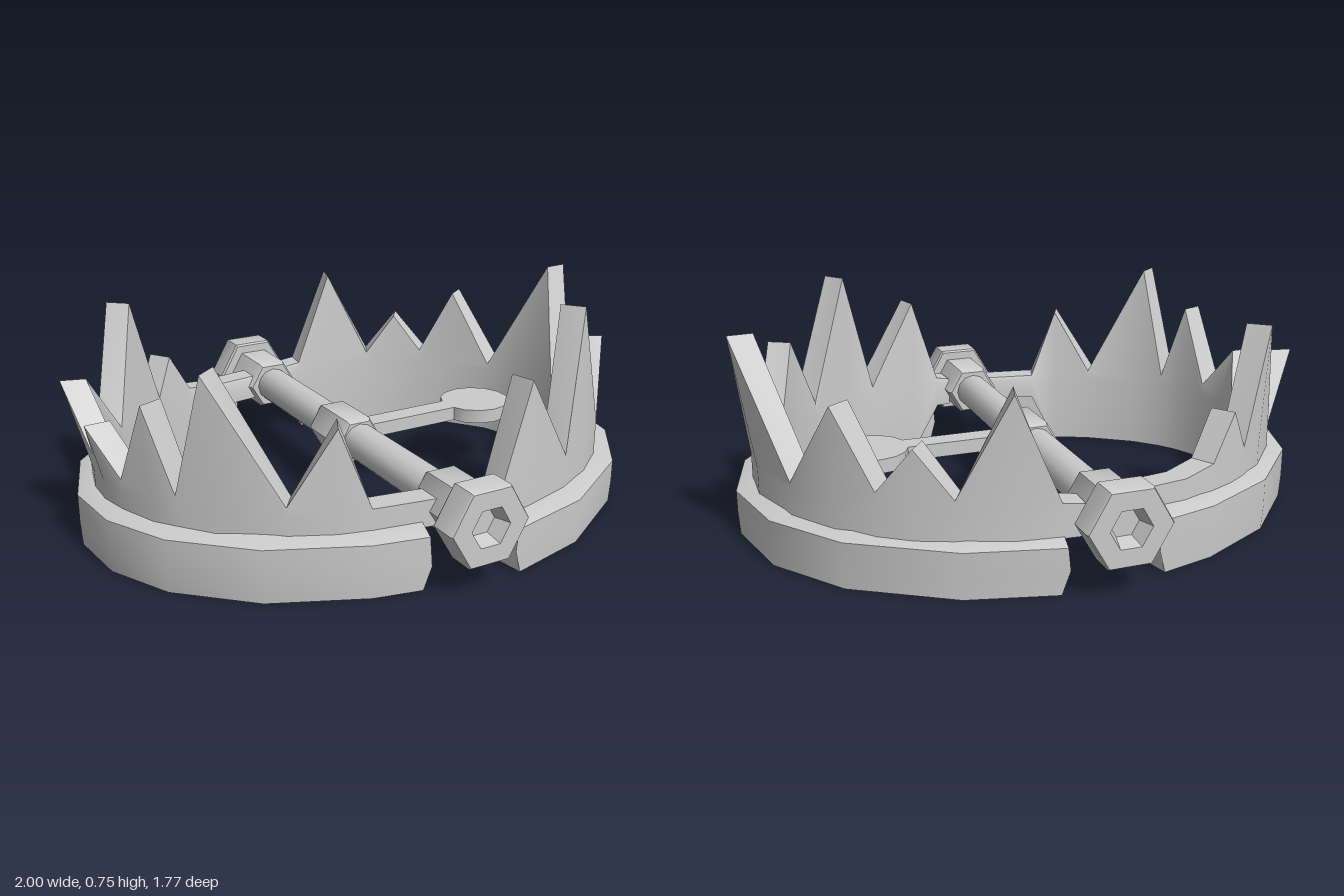
import * as THREE from 'three';
import { toCreasedNormals } from 'three/addons/utils/BufferGeometryUtils.js';

const material = new THREE.MeshStandardMaterial({ color: 0xcccccc, side: THREE.DoubleSide });
const AXIS_X = -0.03, AXIS_Y = 0.23;

function part(name, geometry) {
  const mesh = new THREE.Mesh(toCreasedNormals(geometry, 0.6), material);
  mesh.name = name;
  return mesh;
}

// Skin a row of cross-sections and cap both ends. The last side of a section
// is its underside, left open where openBelow(i) says so.
function loft(sections, flip, openBelow) {
  const out = [];
  const tri = (a, b, c) => out.push(...a, ...(flip ? c : b), ...(flip ? b : c));
  const n = sections[0].length;
  for (let i = 0; i + 1 < sections.length; i++) {
    for (let j = 0; j < (openBelow(i) ? n - 1 : n); j++) {
      const k = (j + 1) % n;
      const a = sections[i][j], b = sections[i][k], c = sections[i + 1][k], d = sections[i + 1][j];
      tri(a, d, c);
      tri(a, c, b);
    }
  }
  const first = sections[0], last = sections[sections.length - 1];
  for (let j = 1; j + 1 < n; j++) {
    tri(first[0], first[j], first[j + 1]);
    tri(last[0], last[j + 1], last[j]);
  }
  const g = new THREE.BufferGeometry();
  g.setAttribute('position', new THREE.Float32BufferAttribute(out, 3));
  return g;
}

// side: +1 or -1; a, b: half axes of the outer ellipse; angles run from +z to -z.
function makeJaw(name, { side, a, b, bandZ, bandTop, bandAngles, armBottom, teeth }) {
  const jaw = new THREE.Group();
  jaw.name = name;
  const at = (deg, offset, y) => {
    const t = THREE.MathUtils.degToRad(deg);
    return [side * (a + offset) * Math.sin(t), y, (b + offset) * Math.cos(t)];
  };

  // Toothed wall: [angle, top height, outward lean of the top]
  const isArm = (i) => i < 2 || i > teeth.length - 3;
  const wall = teeth.map(([deg, y, lean = 0], i) => [
    at(deg, -0.06, isArm(i) ? armBottom : bandTop), at(deg, -0.06, 0.26), at(deg, -0.06 + lean, y),
    at(deg, -0.145 + lean, y), at(deg, -0.15, 0.26), at(deg, -0.15, isArm(i) ? armBottom : 0)]);
  jaw.add(part('toothedWall', loft(wall, side < 0, (i) => !isArm(i) || !isArm(i + 1))));

  // Outer band, hollow below, with a bevelled top and slanted ends
  const band = bandAngles.map((deg, i) => {
    const end = i === 0 ? 1.5 : i === bandAngles.length - 1 ? -1.5 : 0;
    return [at(deg + end, -0.005, 0), at(deg, 0, 0.08), at(deg + end * 0.3, 0, bandTop),
      at(deg + end * 0.3, -0.06, bandTop + 0.02), at(deg + end * 0.3, -0.125, bandTop + 0.02),
      at(deg, -0.125, 0.08), at(deg + end, -0.125, 0)];
  });
  const bandMesh = part('outerBand', loft(band, side < 0, () => true));
  bandMesh.position.z = bandZ;
  jaw.add(bandMesh);
  return jaw;
}

// Six-sided turned piece along z
function hexTurned(points) {
  const profile = points.map(([r, z]) => new THREE.Vector2(r, z));
  return new THREE.LatheGeometry(profile, 6, Math.PI / 2).rotateX(Math.PI / 2);
}

export function createModel() {
  const model = new THREE.Group();
  model.name = 'jawTrap';

  model.add(makeJaw('leftJaw', {
    side: 1, a: 0.995, b: 0.81, bandZ: 0.012, bandTop: 0.155, armBottom: 0.165,
    bandAngles: [7, 26, 49, 69, 90, 111, 131, 154, 173],
    teeth: [[3.5, 0.27], [7, 0.28], [14, 0.6], [27, 0.29], [38, 0.75, -0.03], [49, 0.3],
      [60, 0.565], [69, 0.32], [77, 0.465, 0.01], [84, 0.3], [95.7, 0.71, 0.068], [113, 0.28],
      [126, 0.56], [136, 0.31], [144, 0.455], [152, 0.3], [163, 0.63, 0.02], [172, 0.28], [176.5, 0.27]],
  }));
  model.add(makeJaw('rightJaw', {
    side: -1, a: 1, b: 0.775, bandZ: 0, bandTop: 0.18, armBottom: 0.18,
    bandAngles: [9, 20, 40, 60, 77, 94, 115, 137, 156, 169],
    teeth: [[4, 0.27], [19.5, 0.27], [26, 0.535], [36, 0.29], [51, 0.71, 0.05], [60, 0.3],
      [66.5, 0.58, 0.025], [77, 0.3], [86, 0.455, 0.05], [94, 0.31], [106, 0.52, 0.08], [117, 0.29],
      [131, 0.69, 0.02], [140, 0.3], [145, 0.44], [152, 0.29], [160, 0.27], [176, 0.27]],
  }));

  // Hinge bolt and trigger share one axis
  const hinge = new THREE.Group();
  hinge.name = 'hinge';
  hinge.position.set(AXIS_X, AXIS_Y, 0);
  hinge.add(part('rod', new THREE.CylinderGeometry(0.065, 0.065, 1.3, 12).rotateX(Math.PI / 2)));

  // Collar and hex head with a socket, one at each end
  for (const [name, turn] of [['frontBoltHead', 0], ['backBoltHead', Math.PI]]) {
    const head = part(name, hexTurned([[0.06, 0.595], [0.09, 0.595], [0.1, 0.61], [0.1, 0.782],
      [0.135, 0.782], [0.142, 0.79], [0.142, 0.877], [0.137, 0.885], [0.07, 0.885], [0.05, 0.83], [0, 0.83]]));
    head.rotation.y = turn;
    hinge.add(head);
  }
  hinge.add(part('centreCollar', hexTurned([[0.05, -0.115], [0.08, -0.115], [0.09, -0.1],
    [0.09, 0.09], [0.08, 0.105], [0.05, 0.105]])));

  // Trigger arm and round pressure pan
  const arm = part('triggerArm', new THREE.BoxGeometry(0.42, 0.05, 0.08));
  arm.position.set(0.26, 0, 0);
  const pan = part('triggerPan', new THREE.CylinderGeometry(0.13, 0.13, 0.05, 14));
  pan.position.set(0.565, 0, 0);
  hinge.add(arm, pan);
  model.add(hinge);
  return model;
}
